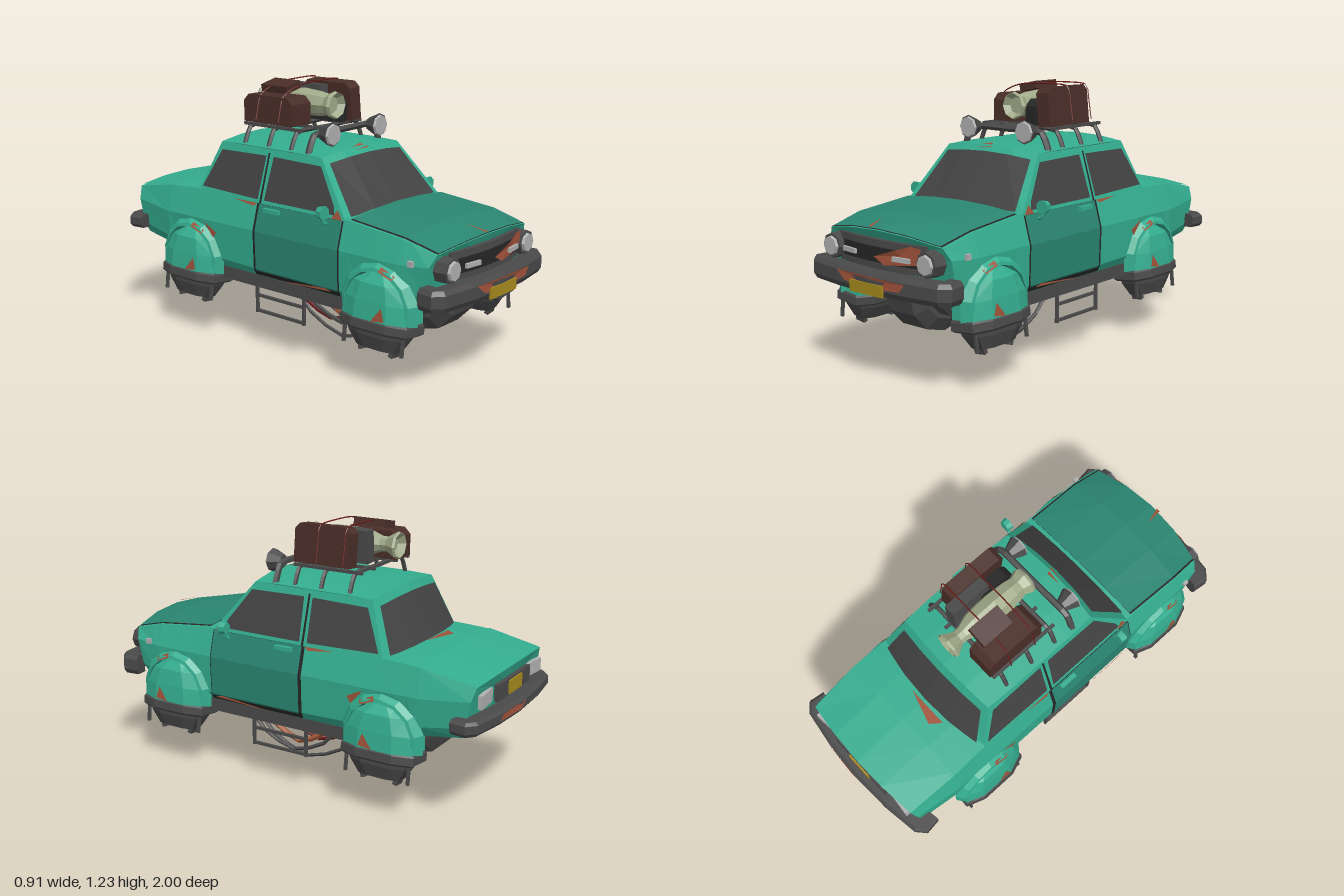
import * as THREE from 'three';

const mat = (color) => new THREE.MeshStandardMaterial({ color, flatShading: true, side: THREE.DoubleSide });
const M = {
  teal: mat(0x34ad8f), deep: mat(0x2a8672), dark: mat(0x4a4a4a), black: mat(0x262626), glass: mat(0x434343),
  rust: mat(0xa0523a), brown: mat(0x4a2e28), lens: mat(0xb0b0b0), yellow: mat(0xa68a1e), clay: mat(0xa0a988),
  red: mat(0x6b1a18), orange: mat(0xa85a38),
};
const V = (x, y, z) => new THREE.Vector3(x, y, z);
const lerp = THREE.MathUtils.lerp;

function add(parent, name, geo, material, pos = [0, 0, 0], rot = [0, 0, 0]) {
  const m = new THREE.Mesh(geo, material);
  m.name = name;
  m.position.set(...pos);
  m.rotation.set(...rot);
  parent.add(m);
  return m;
}
const box = (w, h, d, sx = 1) => new THREE.BoxGeometry(w, h, d, sx, 1, 1);

// Surface through a list of point rings, optionally closed round and capped at the ends
function loft(rings, closed = false, capStart = false, capEnd = false) {
  const n = rings[0].length, pos = rings.flat().flatMap((p) => p.toArray()), idx = [];
  for (let i = 0; i < rings.length - 1; i++)
    for (let j = 0; j < (closed ? n : n - 1); j++) {
      const a = i * n + j, b = i * n + ((j + 1) % n);
      idx.push(a, b, a + n, b, b + n, a + n);
    }
  const cap = (r, flip) => {
    const c = rings[r].reduce((s, p) => s.add(p), V(0, 0, 0)).divideScalar(n), k = pos.length / 3;
    pos.push(...c.toArray());
    for (let j = 0; j < n; j++) {
      const a = r * n + j, b = r * n + ((j + 1) % n);
      idx.push(k, flip ? b : a, flip ? a : b);
    }
  };
  if (capStart) cap(0, true);
  if (capEnd) cap(rings.length - 1, false);
  const g = new THREE.BufferGeometry();
  g.setAttribute('position', new THREE.Float32BufferAttribute(pos, 3));
  g.setIndex(idx);
  g.computeVertexNormals();
  return g;
}
// Sweep both ends of a part back from the middle
function bend(g, k) {
  const p = g.attributes.position;
  for (let i = 0; i < p.count; i++) p.setZ(i, p.getZ(i) - k * (p.getX(i) / 0.38) ** 2);
  g.computeVertexNormals();
  return g;
}
const tube = (pts, r, seg = 14, sides = 5) => new THREE.TubeGeometry(
  new THREE.CatmullRomCurve3(pts.map((p) => V(...p)), false, 'catmullrom', 0.3), seg, r, sides);
const patch = (g, pts) => add(g, 'rustPatch', loft([pts.map((p) => V(...p))], true, false, true), M.rust);

// Body stations: z, bend, lean, top x/y, crown, waist x/y, low x/y, bottom x/y
const stations = [
  [0.93, 0.05, 0.22, 0.34, 0.64, 0.035, 0.37, 0.59, 0.365, 0.47, 0.33, 0.41],
  [0.75, 0.02, 0, 0.35, 0.68, 0.03, 0.385, 0.58, 0.385, 0.43, 0.34, 0.35],
  [0.44, 0, 0, 0.345, 0.71, 0.02, 0.385, 0.58, 0.38, 0.4, 0.35, 0.35],
  [-0.1, 0, 0, 0.345, 0.715, 0.015, 0.385, 0.58, 0.38, 0.4, 0.35, 0.35],
  [-0.5, 0, 0, 0.345, 0.715, 0.015, 0.385, 0.58, 0.38, 0.41, 0.35, 0.36],
  [-0.68, 0, 0, 0.35, 0.705, 0.015, 0.385, 0.58, 0.375, 0.45, 0.34, 0.4],
  [-0.955, -0.03, -0.2, 0.335, 0.66, 0.02, 0.36, 0.6, 0.355, 0.48, 0.33, 0.43],
];
const podZ = [0.625, -0.51];
// One cross-section; arch is the height of the wheel opening, if any
function section([z, b, l, xt, yt, c, xs, ys, xl, yl, xb, yb], arch) {
  const half = [[0.23, yb], [0.23, arch ?? yb], [xb, arch ?? yb], [xl, arch ?? yl], [xs, ys], [xt, yt], [xt * 0.5, yt + c * 0.75]];
  const all = [...half, [0, yt + c], ...half.map(([x, y]) => [-x, y]).reverse()];
  return all.map(([x, y]) => V(x, y, z - b * (x / 0.38) ** 2 - l * Math.max(0, yt - y)));
}
function stationAt(z) {
  const i = stations.findIndex((s, k) => k > 0 && s[0] <= z), a = stations[i - 1], b = stations[i];
  return a.map((v, k) => lerp(v, b[k], (a[0] - z) / (a[0] - b[0])));
}
function lid(from, to) {
  return loft(stations.slice(from, to + 1).map((s) => section(s).slice(5, 10).map((p) => V(p.x * 0.96, p.y + 0.008, p.z))));
}

function buildBody(g) {
  const cuts = stations.filter((s) => podZ.every((z) => Math.abs(s[0] - z) > 0.167)).map((s) => ({ z: s[0], ring: section(s) }));
  for (const z0 of podZ)
    for (const d of [-0.167, -0.163, -0.12, -0.05, 0.05, 0.12, 0.163, 0.167]) {
      const open = Math.abs(d) < 0.165 ? 0.38 + Math.sqrt(0.165 ** 2 - d * d) : undefined;
      cuts.push({ z: z0 + d, ring: section(stationAt(z0 + d), open) });
    }
  const rings = cuts.sort((a, b) => b.z - a.z).map((c) => c.ring);
  add(g, 'bodyShell', loft(rings.map((r) => r.slice(2, -2)), false, true, true), M.teal);
  add(g, 'underside', loft(rings.map((r) => [r[0], r[r.length - 1]])), M.dark);
  add(g, 'leftWheelWells', loft(rings.map((r) => r.slice(0, 4))), M.dark);
  add(g, 'rightWheelWells', loft(rings.map((r) => r.slice(-4))), M.dark);
  add(g, 'hoodGap', lid(0, 2).scale(1.025, 1, 1).translate(0, -0.004, 0), M.black);
  add(g, 'hood', lid(0, 2), M.deep);
  add(g, 'trunkLid', lid(5, 6), M.teal);
  add(g, 'sills', box(0.72, 0.06, 0.8), M.dark, [0, 0.335, 0.05]);

  // Cabin: front and rear arcs at height fraction v
  const X = (v) => lerp(0.348, 0.275, v), Y = (v) => lerp(0.7, 0.945, v);
  const arc = (v, z0, z1, bow, k = 1, off = 0) => [-1, -0.5, 0, 0.5, 1].map((u) =>
    V(u * k * X(v), Y(v) + v * 0.02 * (1 - u * u), lerp(z0, z1, v) + bow * (1 - (u * k) ** 2) + off));
  const front = (v, k, o) => arc(v, 0.42, 0.22, 0.02, k, o), rear = (v, k, o) => arc(v, -0.495, -0.4, lerp(-0.05, -0.015, v), k, o);
  add(g, 'cabin', loft([0, 1].map((v) => [...front(v), ...rear(v).reverse()]), true), M.teal);
  add(g, 'roof', loft([front(1), ...[0.08, -0.25].map((z) => front(1).map((p) => V(p.x * 1.02, p.y + 0.004, z))), rear(1)]), M.teal);
  add(g, 'windscreen', loft([0.07, 0.9].map((v) => front(v, 0.9, 0.007))), M.glass);
  add(g, 'rearWindow', loft([0.08, 0.36, 0.62, 0.88].map((v) => rear(v, 0.9, -0.012))), M.glass);

  for (const s of [1, -1]) {
    const side = new THREE.Group();
    side.name = s > 0 ? 'leftSide' : 'rightSide';
    side.scale.x = s;
    g.add(side);
    const panel = (pts, off) => loft([pts.map(([z, y]) => V(lerp(0.348, 0.275, (y - 0.7) / 0.245) + off, y, z))], true, false, true);
    add(side, 'frontWindow', panel([[0.355, 0.72], [0.34, 0.76], [0.23, 0.91], [-0.055, 0.915], [-0.065, 0.72]], 0.004), M.glass);
    add(side, 'rearSideWindow', panel([[-0.105, 0.72], [-0.1, 0.915], [-0.385, 0.91], [-0.47, 0.73]], 0.004), M.glass);
    add(side, 'pillarGap', panel([[-0.078, 0.7], [-0.078, 0.93], [-0.088, 0.93], [-0.09, 0.7]], 0.006), M.black);
    const door = (z0, z1, off, y0) => loft([z0, z1].map((z) =>
      [[0.35, 0.705], [0.385, 0.58], [0.38, 0.4], [0.365, y0]].map(([x, y]) => V(x + off, y, z))));
    add(side, 'doorGap', door(0.412, -0.1, 0.003, 0.37), M.black);
    add(side, 'frontDoor', door(0.406, -0.085, 0.006, 0.382), M.deep);
    add(side, 'doorHandle', box(0.02, 0.018, 0.09), M.teal, [0.372, 0.685, 0.005]);
    add(side, 'sideMarker', box(0.015, 0.025, 0.025), M.lens, [0.383, 0.595, 0.79]);
    add(side, 'mirrorArm', tube([[0.34, 0.68, 0.32], [0.375, 0.685, 0.32], [0.385, 0.72, 0.32]], 0.009, 6), M.teal);
    add(side, 'mirror', new THREE.CylinderGeometry(0.032, 0.026, 0.03, 8), M.teal, [0.39, 0.735, 0.32], [Math.PI / 2, Math.PI / 8, 0]);
    patch(side, [[0.392, 0.39, 0.38], [0.39, 0.375, 0.05], [0.392, 0.4, 0.34]]);
    patch(side, [[0.389, 0.53, -0.34], [0.389, 0.57, -0.42], [0.389, 0.5, -0.36]]);
    patch(side, [[0.354, 0.705, -0.1], [0.354, 0.705, -0.25], [0.36, 0.69, -0.12]]);
    patch(side, [[0.35, 0.705, 0.4], [0.342, 0.745, 0.37], [0.352, 0.705, 0.34]]);

    // Ladder under the door
    for (const z of [0.185, -0.105]) add(side, 'ladderRail', box(0.014, 0.18, 0.012), M.dark, [0.355, 0.27, z]);
    for (const y of [0.19, 0.265, 0.32]) add(side, 'ladderRung', box(0.014, 0.012, 0.29), M.dark, [0.355, y, 0.04]);
    for (const z of podZ) buildPod(side, z);
  }
  patch(g, [[-0.14, 0.732, -0.56], [-0.1, 0.734, -0.61], [0.07, 0.737, -0.56]]);
  patch(g, [[-0.2, 0.945, 0.235], [0, 0.972, 0.215], [0.02, 0.957, 0.253]]);
  patch(g, [[-0.06, 0.71, 0.84], [-0.05, 0.688, 0.935], [-0.03, 0.688, 0.935]]);
}

// Flared wheel arch with a domed hover pod hung inside it
function buildPod(parent, z0) {
  const pod = new THREE.Group();
  pod.name = 'hoverPod';
  pod.position.z = z0;
  parent.add(pod);
  const flare = [[0.36, 0.163], [0.412, 0.163], [0.408, 0.178], [0.37, 0.205]];
  add(pod, 'archFlare', loft([...Array(9).keys()].map((i) => {
    const t = lerp(-0.25, Math.PI + 0.25, i / 8);
    return flare.map(([x, r]) => V(x, 0.375 + r * Math.sin(t), r * Math.cos(t)));
  }), true, true, true), M.teal);
  patch(pod, [[0.414, 0.515, 0.09], [0.414, 0.54, 0.02], [0.4, 0.56, 0.03], [0.4, 0.53, 0.1]]);
  const jet = new THREE.Group();
  jet.name = 'thruster';
  jet.position.set(0.357, 0.3, 0);
  jet.rotation.z = 0.12;
  pod.add(jet);
  const oct = (a, b, y) => [[1, 0.5], [0.65, 1], [-0.65, 1], [-1, 0.5], [-1, -0.5], [-0.65, -1], [0.65, -1], [1, -0.5]]
    .map(([p, q]) => V(p * a, y, q * b));
  add(jet, 'podDome', loft([oct(0.092, 0.172, 0.01), oct(0.092, 0.165, 0.1), oct(0.085, 0.125, 0.175), oct(0.06, 0.06, 0.215)], true, true, true), M.teal);
  patch(jet, [[0.094, 0.03, 0.08], [0.094, 0.02, 0.01], [0.094, 0.085, 0.06]]);
  add(jet, 'thrusterRim', loft([oct(0.088, 0.175, 0.025), oct(0.096, 0.18, 0.015), oct(0.096, 0.18, -0.02), oct(0.085, 0.165, -0.03)], true, true, true), M.dark);
  add(jet, 'thrusterBlock', loft([oct(0.078, 0.145, -0.025), oct(0.074, 0.135, -0.05), oct(0.048, 0.1, -0.11)], true, true, true), M.dark);
  add(jet, 'nozzleGlow', box(0.05, 0.008, 0.14), M.lens, [0, -0.111, 0]);
  for (const s of [1, -1]) {
    add(jet, 'peg', box(0.014, 0.09, 0.012), M.dark, [0.05, -0.065, s * 0.155]);
    add(jet, 'landingTooth', box(0.055, 0.045, 0.02), M.dark, [0, -0.11, s * 0.085], [s * 0.3, 0, 0]);
  }
}

// Bumper: bevelled section swept along a line that wraps both corners; f is +1 front, -1 rear
function bumper(y, h, f) {
  const half = [[0.4, 0.85], [0.41, 0.92], [0.375, 0.95], [0.2, 0.975]];
  const path = [...half, [0, 0.985], ...half.map(([x, z]) => [-x, z]).reverse()];
  const profile = [[-0.055, -0.5], [0, -0.5], [0.014, -0.25], [0.014, 0.3], [0, 0.5], [-0.055, 0.5]];
  return loft(path.map(([x, z], i) => {
    const a = path[Math.max(0, i - 1)], b = path[Math.min(path.length - 1, i + 1)];
    const t = new THREE.Vector2(b[0] - a[0], b[1] - a[1]).normalize();
    return profile.map(([o, q]) => V(x + t.y * o, y + q * h, f * (z - t.x * o)));
  }), true, true, true);
}

function buildEnds(g) {
  // Grille and headlights
  add(g, 'grille', bend(box(0.52, 0.125, 0.05, 6), 0.06), M.dark, [0, 0.575, 0.91]);
  add(g, 'grilleInset', bend(box(0.44, 0.065, 0.01, 6), 0.06), M.black, [0, 0.575, 0.937]);
  patch(g, [[0, 0.57, 0.953], [0.12, 0.61, 0.95], [0.2, 0.635, 0.933], [0.25, 0.63, 0.925], [0.24, 0.56, 0.927], [0.06, 0.54, 0.952]]);
  for (const s of [1, -1]) {
    add(g, 'headlightRim', new THREE.CylinderGeometry(0.055, 0.06, 0.06, 8), M.dark, [s * 0.287, 0.572, 0.905], [Math.PI / 2, 0, 0]);
    add(g, 'headlight', new THREE.CylinderGeometry(0.04, 0.046, 0.02, 8), M.lens, [s * 0.287, 0.572, 0.937], [Math.PI / 2, 0, 0]);
    add(g, 'grilleLamp', box(0.09, 0.02, 0.012), M.lens, [s * 0.157, 0.575, 0.946], [0, s * 0.14, 0]);
    add(g, 'tailLight', box(0.13, 0.06, 0.02), M.lens, [s * 0.25, 0.59, -0.932], [0, s * 0.1, 0]);
  }
  add(g, 'frontBumper', bumper(0.465, 0.095, 1), M.dark);
  patch(g, [[-0.19, 0.495, 0.993], [0, 0.495, 1.001], [0.22, 0.49, 0.991], [0.19, 0.455, 0.993], [0, 0.445, 1.001], [-0.14, 0.455, 0.996]]);
  add(g, 'frontPlate', box(0.2, 0.05, 0.01), M.yellow, [0, 0.442, 0.998]);
  add(g, 'rearBumper', bumper(0.497, 0.065, -1), M.dark);
  patch(g, [[-0.04, 0.515, -0.999], [0.19, 0.515, -0.993], [0.22, 0.49, -0.991], [0.02, 0.485, -1.001]]);
  add(g, 'tailPanel', box(0.34, 0.075, 0.02), M.dark, [0, 0.59, -0.945]);
  add(g, 'rearPlate', box(0.13, 0.06, 0.01), M.yellow, [0, 0.59, -0.958]);
}

function buildUndercarriage(g) {
  const prof = [[0, -0.22], [0.09, -0.21], [0.13, -0.175], [0.13, -0.11], [0.15, -0.11], [0.21, -0.075]];
  const pts = [...prof, ...prof.map(([r, x]) => [r, -x]).reverse()].map((p) => new THREE.Vector2(...p));
  for (const z of [0.62, -0.5]) {
    add(g, 'engineDrum', new THREE.LatheGeometry(pts, 12), M.dark, [0, 0.4, z], [0, 0, Math.PI / 2]);
    for (const dz of [-0.06, 0.06]) add(g, 'axle', box(0.56, 0.014, 0.014), M.dark, [0, 0.34, z + dz]);
  }
  // Hanging hoses: x, lowest y, front z, rear z, radius, colour
  for (const [x, y, zf, zr, r, m] of [[0, 0.012, 0.54, -0.3, 0.009, M.dark], [-0.065, 0.11, 0.5, -0.16, 0.011, M.dark],
    [-0.03, 0.1, 0.38, -0.24, 0.009, M.red], [0.03, 0.095, 0.42, -0.12, 0.014, M.orange], [0.065, 0.06, 0.52, -0.2, 0.01, M.dark]]) {
    const pt = (t) => [x, lerp(0.34, y, 1 - (2 * t - 1) ** 2), lerp(zf, zr, t)];
    add(g, 'hose', tube([0, 0.25, 0.5, 0.75, 1].map(pt), r, 10), m);
  }
}

function buildRoofLoad(g) {
  const hoop = (z, r) => tube([[-0.255, 0.94, z], [-0.235, 0.99, z], [-0.2, 1.03, z], [0, 1.03, z], [0.2, 1.03, z], [0.235, 0.99, z], [0.255, 0.94, z]], r, 20);
  for (const z of [0.02, -0.12, -0.27]) add(g, 'rackHoop', hoop(z, 0.011), M.dark);
  add(g, 'lightBar', hoop(0.125, 0.016), M.dark);
  for (const x of [-0.21, -0.1, 0.1, 0.21]) add(g, 'rackRail', box(0.014, 0.014, 0.36), M.dark, [x, 1.035, -0.13]);
  for (const s of [1, -1]) {
    add(g, 'roofLampHousing', new THREE.CylinderGeometry(0.056, 0.03, 0.06, 8), M.dark, [s * 0.17, 1.03, 0.165], [Math.PI / 2, 0, 0]);
    add(g, 'roofLamp', new THREE.CylinderGeometry(0.046, 0.05, 0.01, 8), M.lens, [s * 0.17, 1.03, 0.2], [Math.PI / 2, 0, 0]);
  }
  // Cases with clipped corners, thickness along x
  const bag = (w, h, d, c) => {
    const outline = [[1, 1, 0, -c], [1, 1, -c, 0], [-1, 1, c, 0], [-1, 1, 0, -c], [-1, -1, 0, 0], [1, -1, 0, 0]];
    return loft([-1, 1].map((e) => outline.map(([p, q, i, j]) => V(e * w / 2, q * h / 2 + j, p * d / 2 + i))), true, true, true);
  };
  add(g, 'largeSuitcase', bag(0.13, 0.13, 0.3, 0.03), M.brown, [-0.14, 1.108, -0.17]);
  add(g, 'smallCase', box(0.1, 0.035, 0.16), M.brown, [-0.078, 1.205, -0.2], [0, 0, 0.22]);
  add(g, 'tiltedSuitcase', bag(0.07, 0.18, 0.29, 0.025), M.brown, [0.163, 1.13, -0.09], [0, 0, 0.1]);
  add(g, 'blackBag', bag(0.055, 0.12, 0.19, 0.03), M.black, [0.082, 1.1, -0.045], [0, 0, -0.06]);
  add(g, 'greyCase', box(0.055, 0.15, 0.2), M.dark, [0.09, 1.13, -0.18], [0, 0, -0.06]);
  const vase = [[0, -0.2], [0.04, -0.2], [0.06, -0.23], [0.066, -0.215], [0.05, -0.18], [0.058, -0.14], [0.066, -0.04], [0.058, 0.08],
    [0.036, 0.14], [0.035, 0.17], [0.064, 0.22], [0.058, 0.23], [0.03, 0.2], [0, 0.2]].map((p) => new THREE.Vector2(...p));
  add(g, 'vase', new THREE.LatheGeometry(vase, 8), M.clay, [0, 1.13, -0.15], [-Math.PI / 2, 0, 0]);
  for (const z of [-0.22, -0.08])
    add(g, 'cord', tube([[-0.23, 1.06, z], [-0.2, 1.17, z], [-0.12, 1.21, z], [-0.03, 1.225, z], [0.19, 1.225, z], [0.215, 1.15, z], [0.23, 1.06, z]], 0.003, 24, 4), M.red);
}

export function createModel() {
  const g = new THREE.Group();
  g.name = 'hoverCar';
  for (const [name, build] of Object.entries({ body: buildBody, ends: buildEnds, undercarriage: buildUndercarriage, roofLoad: buildRoofLoad })) {
    const part = new THREE.Group();
    part.name = name;
    build(part);
    g.add(part);
  }
  return g;
}
